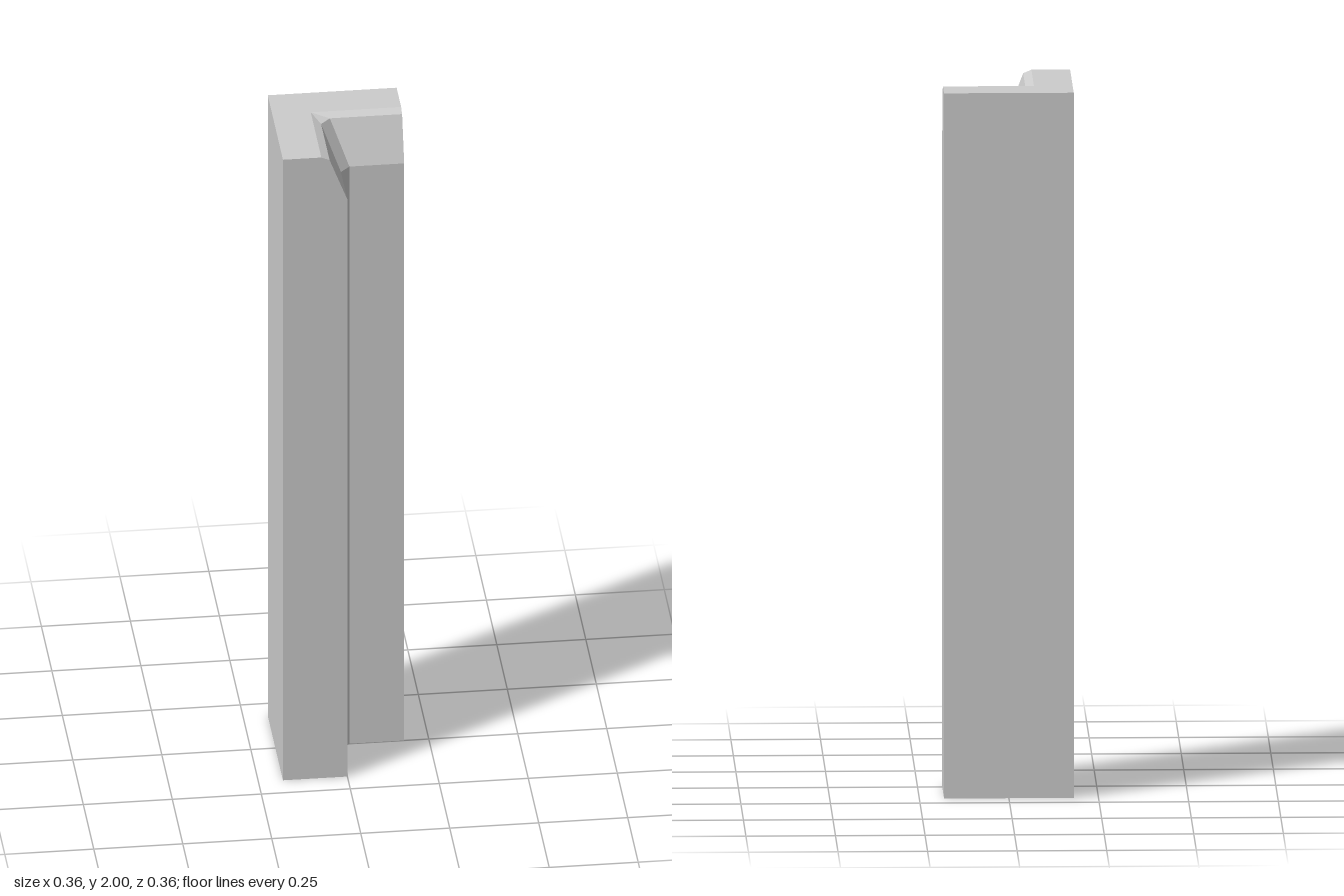
import * as THREE from 'three';

const R = 0.181; // half width of the post

// L-shaped cross-section: inner faces at i, inner corner chamfer c, height y
function section(y, i, c) {
  return [
    [-R, -R], [R, -R], [R, i], [i + c, i], [i, i + c], [i, R], [-R, R],
  ].map(([x, z]) => new THREE.Vector3(x, y, z));
}

export function createModel() {
  const group = new THREE.Group();
  group.name = 'cornerPost';

  // Straight shaft, long bevel, then a shallow bevel running out to a sharp corner
  const rings = [
    section(0, 0, 0.027),
    section(1.86, 0, 0.027),
    section(1.99, -0.05, 0.028),
    section(2, -0.073, 0),
  ];

  const positions = [];
  const tri = (...corners) => {
    if (new THREE.Triangle(...corners).getArea() < 1e-8) return;
    corners.forEach((p) => positions.push(p.x, p.y, p.z));
  };

  // Walls between neighbouring sections
  for (let k = 0; k < rings.length - 1; k++) {
    const lo = rings[k], hi = rings[k + 1];
    lo.forEach((p, j) => {
      const n = (j + 1) % lo.length;
      tri(p, hi[j], lo[n]);
      tri(lo[n], hi[j], hi[n]);
    });
  }

  // End caps, fanned from the outer corner
  const bottom = rings[0], top = rings[rings.length - 1];
  for (let j = 1; j < bottom.length - 1; j++) {
    tri(bottom[0], bottom[j], bottom[j + 1]);
    tri(top[0], top[j + 1], top[j]);
  }

  const geometry = new THREE.BufferGeometry();
  geometry.setAttribute('position', new THREE.Float32BufferAttribute(positions, 3));
  geometry.computeVertexNormals();

  const post = new THREE.Mesh(
    geometry,
    new THREE.MeshStandardMaterial({ color: 0xcccccc, flatShading: true }),
  );
  post.name = 'post';
  group.add(post);
  return group;
}
